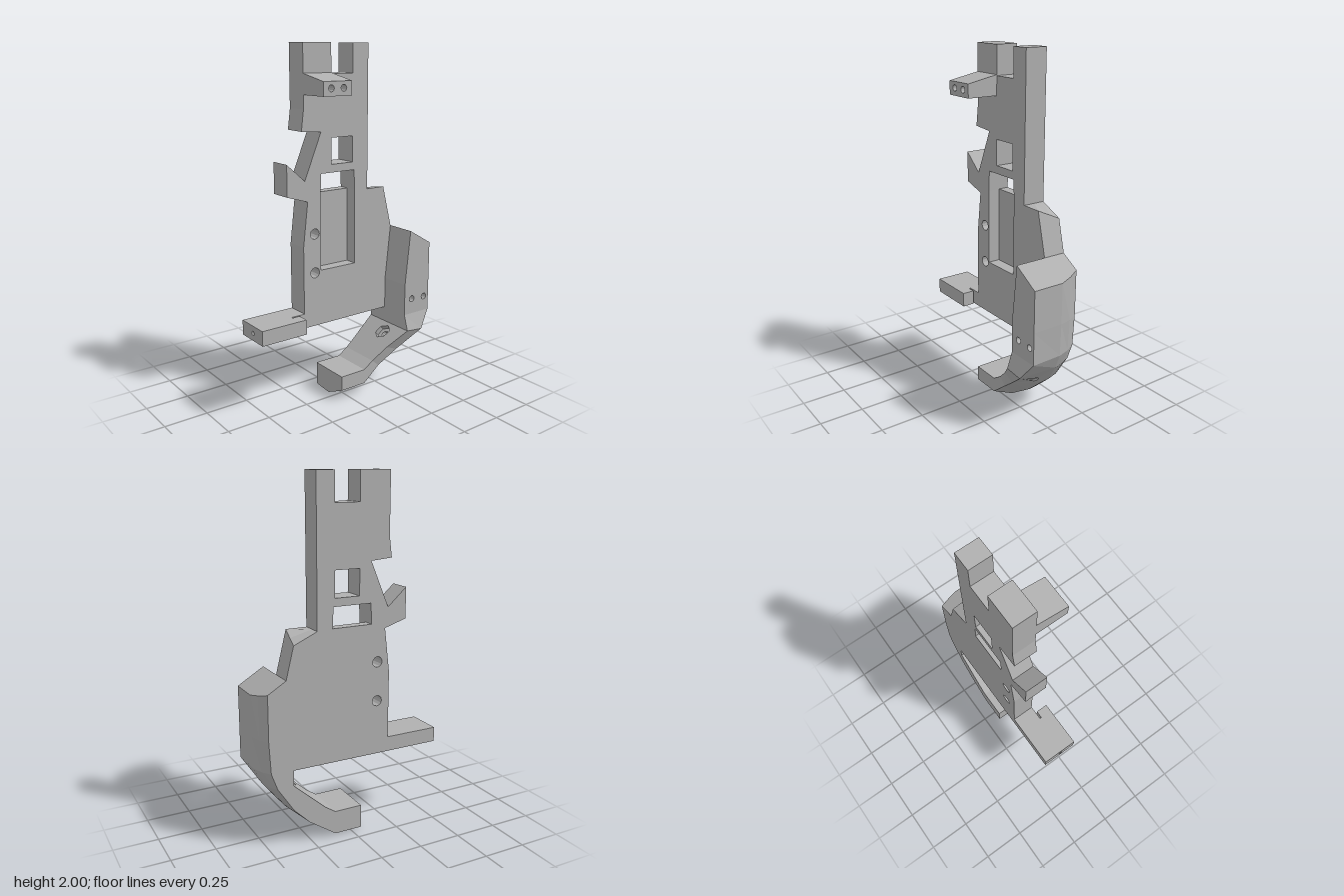
import * as THREE from 'three';
import { mergeGeometries } from 'three/addons/utils/BufferGeometryUtils.js';

const V = (x, y, z) => new THREE.Vector3(x, y, z);
const pts = (list) => list.map(([x, y]) => new THREE.Vector2(x, y));
const rect = (x0, x1, y0, y1) => [[x0, y0], [x1, y0], [x1, y1], [x0, y1]];
const oval = (x, y, rx, ry = rx, n = 12) => Array.from({ length: n }, (_, i) => {
  const a = (i / n) * Math.PI * 2;
  return [x + rx * Math.cos(a), y + ry * Math.sin(a)];
});

function shapeOf(outline, holes = []) {
  const s = new THREE.Shape(pts(outline));
  s.holes = holes.map((h) => new THREE.Path(pts(h)));
  return s;
}

function slab(outline, holes, depth) {
  return new THREE.ExtrudeGeometry(shapeOf(outline, holes), { depth, bevelEnabled: false, curveSegments: 12 });
}

// Point on the bilinear patch a-b-c-d (u runs a to b, v runs a to d)
function onPatch([a, b, c, d], u, v) {
  return a.clone().lerp(b, u).lerp(d.clone().lerp(c, u), v);
}

// Four-cornered face, optionally pierced by holes given in u, v
function patch(corners, holes = []) {
  const g = new THREE.ShapeGeometry(shapeOf(rect(0, 1, 0, 1), holes));
  const p = g.attributes.position;
  for (let i = 0; i < p.count; i++) {
    const q = onPatch(corners, p.getX(i), p.getY(i));
    p.setXYZ(i, q.x, q.y, q.z);
  }
  return g;
}

// Wall joining two rings with equal point counts
function strip(r0, r1) {
  return mergeGeometries(r0.map((p, i) => {
    const j = (i + 1) % r0.length;
    return patch([p, r0[j], r1[j], r1[i]]);
  }));
}

export function createModel() {
  const model = new THREE.Group();
  const grey = new THREE.MeshStandardMaterial({ color: 0xb0b0b0, flatShading: true, side: THREE.DoubleSide });
  grey.name = 'plain grey';
  const add = (name, geometry) => {
    geometry.computeVertexNormals();
    const mesh = new THREE.Mesh(geometry, grey);
    mesh.name = name;
    model.add(mesh);
  };

  // Main plate in two layers: the front one carries the long pocket
  const outline = [
    [-0.23, 0.445], [0.355, 0.445], [0.355, 0.63], [0.39, 0.95], [0.33, 1.19], [0.21, 1.19],
    [0.21, 2], [0.105, 2], [0.105, 1.84], [-0.04, 1.84], [-0.04, 2], [-0.22, 2],
    [-0.22, 1.66], [-0.235, 1.545], [-0.11, 1.535], [-0.217, 1.28], [-0.33, 1.38],
    [-0.33, 1.205], [-0.2, 1.165], [-0.23, 0.915],
  ];
  const common = [rect(-0.04, 0.105, 1.355, 1.5), oval(-0.155, 0.98, 0.03), oval(-0.155, 0.757, 0.03)];
  const slot = [[-0.11, 1.31], [0.115, 1.31], [0.12, 1.195], [-0.115, 1.195]];
  const pocket = [[-0.11, 1.31], [0.115, 1.31], [0.12, 1.195], [0.12, 0.765], [-0.115, 0.765], [-0.115, 1.195]];
  const layers = [['backPlate', slot, -0.17, 0.06], ['frontPlate', pocket, -0.11, 0.07]];
  for (const [name, opening, z, depth] of layers) {
    const g = slab(outline, [...common, opening], depth).translate(0, 0, z);
    const p = g.attributes.position;
    // The shoulder corner drops towards the back
    for (let i = 0; i < p.count; i++) {
      if (p.getX(i) > 0.32 && p.getY(i) > 1.1) {
        const t = (-0.04 - p.getZ(i)) / 0.13;
        p.setXY(i, p.getX(i) + 0.015 * t, p.getY(i) - 0.06 * t);
      }
    }
    add(name, g);
  }

  // Upper bracket with two bores and a sloping top
  const bracket = slab(rect(-0.22, -0.04, 1.735, 1.81), [oval(-0.17, 1.775, 0.018), oval(-0.092, 1.775, 0.018)], 0.18);
  bracket.translate(0, 0, -0.04);
  const bp = bracket.attributes.position;
  for (let i = 0; i < bp.count; i++) {
    if (bp.getY(i) > 1.805 && bp.getZ(i) < 0) bp.setY(i, 1.845);
  }
  add('upperBracket', bracket);

  // Side arm, drawn from above, with a bored end block
  const armPlan = [
    [-0.5, -0.17], [-0.23, -0.17], [-0.23, -0.04], [-0.315, -0.04],
    [-0.315, -0.03], [-0.27, -0.03], [-0.27, 0.04], [-0.5, 0.04],
  ].map(([x, z]) => [x, -z]);
  add('sideArm', slab(armPlan, [], 0.085).rotateX(-Math.PI / 2).translate(0, 0.445, 0));
  add('sideArmEnd', slab(rect(-0.17, 0.04, 0.445, 0.53), [oval(-0.06, 0.488, 0.012)], 0.05)
    .rotateY(-Math.PI / 2).translate(-0.5, 0, 0));

  // Grip and hook: sections of inner x,y | front z | front edge x,y | ridge x,y,z | shoulder x,y | back x,y
  const sections = [
    [0.39, 0.95, 0.14, 0.54, 0.86, 0.54, 0.86, -0.04, 0.52, 0.872, 0.495, 0.887],
    [0.355, 0.63, 0.14, 0.54, 0.63, 0.54, 0.63, -0.04, 0.525, 0.63, 0.495, 0.63],
    [0.355, 0.445, 0.14, 0.54, 0.445, 0.535, 0.445, -0.04, 0.515, 0.445, 0.485, 0.45],
    [0.355, 0.355, 0.17, 0.465, 0.345, 0.49, 0.35, -0.05, 0.475, 0.35, 0.45, 0.355],
    [0.25, 0.26, 0.11, 0.32, 0.23, 0.37, 0.2, -0.05, 0.365, 0.202, 0.355, 0.21],
    [0.165, 0.185, 0.08, 0.21, 0.145, 0.27, 0.11, -0.05, 0.267, 0.113, 0.262, 0.118],
    [0.105, 0.145, 0.08, 0.105, 0.06, 0.105, 0, -0.05, 0.105, 0.005, 0.105, 0.01],
    [-0.06, 0.145, 0.08, -0.06, 0.06, -0.06, 0, -0.05, -0.06, 0.005, -0.06, 0.01],
  ].map(([ix, iy, zf, fx, fy, ox, oy, oz, mx, my, bx, by]) => [
    V(ix, iy, -0.17), V(ix, iy, zf), V(fx, fy, zf), V(ox, oy, oz), V(mx, my, -0.11), V(bx, by, -0.17),
  ]);
  const corners = (s, i) => {
    const j = (i + 1) % 6;
    return [sections[s][i], sections[s + 1][i], sections[s + 1][j], sections[s][j]];
  };
  const ringOn = (s, i, ring) => ring.map(([u, v]) => onPatch(corners(s, i), u, v));

  // Openings in the grip front, and the hexagonal seat and bore through the hook
  const screwHoles = [oval(0.51, 0.3, 0.1), oval(0.53, 0.81, 0.1)];
  const hexCorners = oval(0.47, 0.55, 0.33, 0.15, 6);
  const hex = hexCorners.flatMap((p, k) => {
    const q = hexCorners[(k + 1) % 6];
    return [p, [(p[0] + q[0]) / 2, (p[1] + q[1]) / 2]];
  });
  const bore = oval(0.72, 0.7, 0.12, 0.09);
  const openings = { '1,1': screwHoles, '3,0': [hex], '3,2': [bore] };

  const body = [];
  for (let s = 0; s < sections.length - 1; s++) {
    for (let i = 0; i < 6; i++) body.push(patch(corners(s, i), openings[`${s},${i}`]));
  }
  const cap = (loop) => mergeGeometries([patch(loop.slice(0, 4)), patch([loop[0], loop[3], loop[4], loop[5]])]);
  body.push(cap(sections[0]));
  const tip = sections[sections.length - 1];
  body.push(cap([tip[0], tip[5], tip[4], tip[3], tip[2], tip[1]]));
  add('gripAndHook', mergeGeometries(body));

  // Blind screw holes
  for (const hole of screwHoles) {
    const rim = ringOn(1, 1, hole);
    const floor = rim.map((p) => p.clone().add(V(0, 0, -0.1)));
    const centre = floor.reduce((a, p) => a.add(p), V(0, 0, 0)).divideScalar(floor.length);
    add('screwHole', mergeGeometries([strip(rim, floor), strip(floor, floor.map(() => centre))]));
  }

  // Nut seat sunk into the hook, narrowing to the bore
  const rim = ringOn(3, 0, hex);
  const exit = ringOn(3, 2, bore);
  const sink = V(0.02, -0.022, 0);
  const seat = rim.map((p) => p.clone().add(sink));
  const mouth = ringOn(3, 0, oval(0.47, 0.55, 0.14, 0.06)).map((p) => p.add(sink));
  add('nutSeat', mergeGeometries([strip(rim, seat), strip(seat, mouth), strip(mouth, exit)]));

  return model;
}
